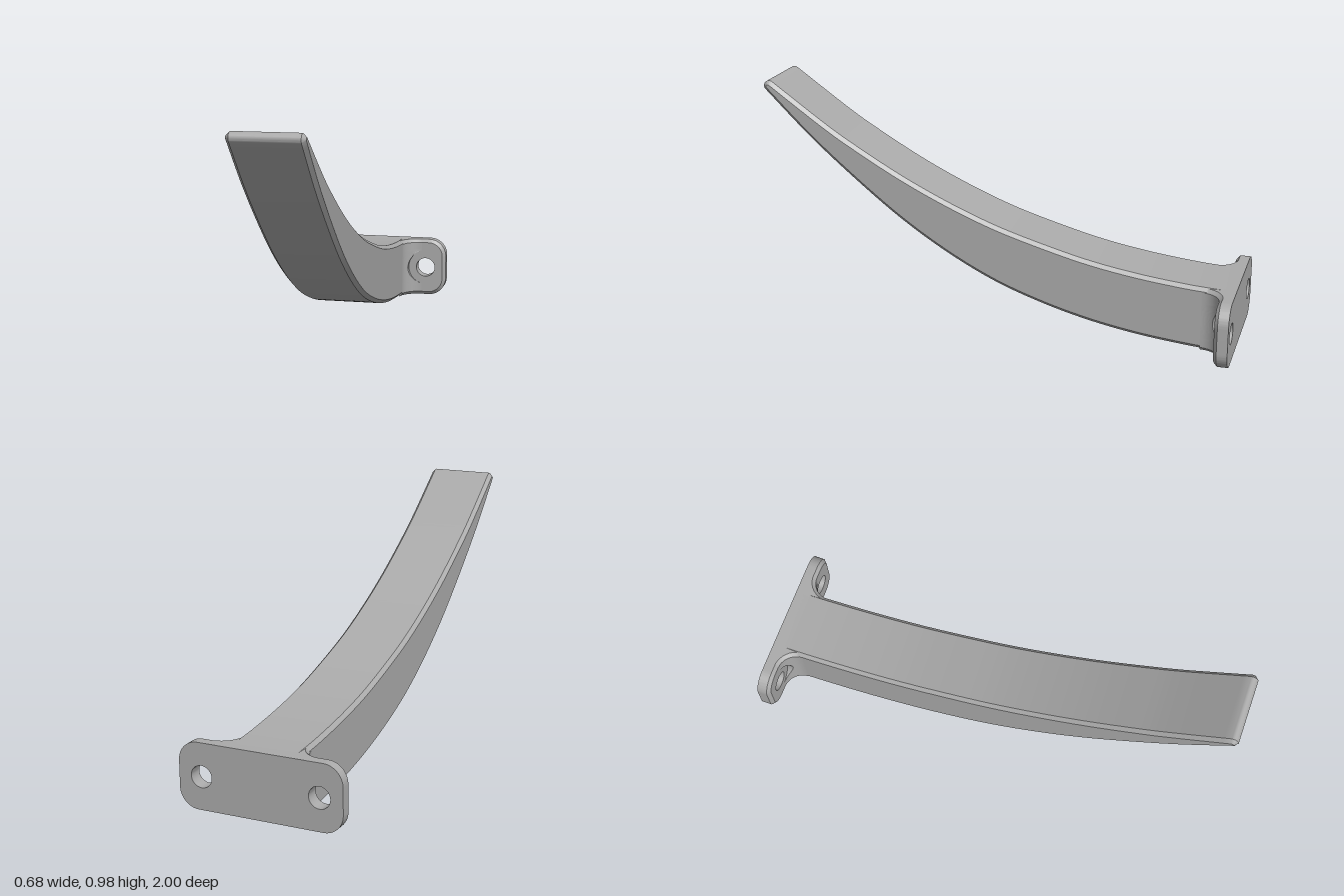
import * as THREE from 'three';
import { toCreasedNormals } from 'three/addons/utils/BufferGeometryUtils.js';

const HEIGHT = 0.267;      // plate height
const HALF = 0.34;         // plate half width
const CORNER = 0.08;       // plate corner radius
const FRONT = -0.943;      // front face of the plate
const ARM = 0.147;         // arm half width
const CHAMFER = 0.015;
const HOLE_X = 0.245, HOLE_Y = 0.133;

const crease = (g) => toCreasedNormals(g, 0.45);

// Curved tapering arm: side profile (z, y) extruded across x with chamfered edges
function armGeometry() {
  const v = (pts) => pts.map(([z, y]) => new THREE.Vector2(z, y));
  const shape = new THREE.Shape();
  shape.moveTo(-0.98, 0.002);
  shape.lineTo(-0.93, 0.004);
  shape.splineThru(v([[-0.8, 0.013], [-0.6, 0.036], [-0.4, 0.073], [-0.2, 0.127], [0, 0.2],
    [0.2, 0.302], [0.4, 0.43], [0.6, 0.585], [0.8, 0.757], [0.992, 0.945]]));
  shape.absarc(0.977, 0.962, 0.023, -0.84, 2.17, false);
  shape.splineThru(v([[0.735, 0.82], [0.6, 0.735], [0.4, 0.622], [0.2, 0.526], [0, 0.446],
    [-0.2, 0.385], [-0.4, 0.334], [-0.6, 0.299], [-0.8, 0.276], [-0.94, HEIGHT]]));
  shape.lineTo(-0.98, HEIGHT);
  shape.closePath();
  const depth = 2 * (ARM - CHAMFER);
  const g = new THREE.ExtrudeGeometry(shape, {
    depth, curveSegments: 6, bevelEnabled: true, bevelSegments: 1,
    bevelSize: CHAMFER, bevelThickness: CHAMFER, bevelOffset: -CHAMFER,
  });
  g.translate(0, 0, -depth / 2);
  g.rotateY(-Math.PI / 2);
  return crease(g);
}

// Rounded wall plate with two screw holes; only the front rim is chamfered
function plateGeometry() {
  const s = new THREE.Shape();
  const r = CORNER, w = HALF - r, top = HEIGHT - r;
  s.absarc(w, r, r, -Math.PI / 2, 0, false);
  s.absarc(w, top, r, 0, Math.PI / 2, false);
  s.absarc(-w, top, r, Math.PI / 2, Math.PI, false);
  s.absarc(-w, r, r, Math.PI, Math.PI * 1.5, false);
  for (const side of [-1, 1]) {
    s.holes.push(new THREE.Path().absarc(side * HOLE_X, HOLE_Y, 0.044, 0, Math.PI * 2, true));
  }
  const depth = FRONT + 1;
  const g = new THREE.ExtrudeGeometry(s, { depth, steps: 4, curveSegments: 16, bevelEnabled: false });
  const p = g.attributes.position;
  for (let i = 0; i < p.count; i++) {
    if (p.getZ(i) < depth - 1e-4) continue;
    const x = p.getX(i), y = p.getY(i);
    const qx = THREE.MathUtils.clamp(x, -w, w), qy = THREE.MathUtils.clamp(y, r, top);
    if (Math.hypot(x - qx, y - qy) < r - 1e-4) continue;
    const k = (r - CHAMFER) / r;
    p.setXY(i, qx + (x - qx) * k, qy + (y - qy) * k);
  }
  g.translate(0, 0, -1);
  return crease(g);
}

// Concave fillet between arm and plate, cut by a round screw-head clearance
function filletGeometry(side) {
  const R = 0.08, clearance = 0.08, arcSteps = 10;
  const cx = ARM + R, cz = FRONT + R;
  const rows = [0];
  for (let j = 0; j <= 32; j++) rows.push(CHAMFER + (HEIGHT - 2 * CHAMFER) * j / 32);
  rows.push(HEIGHT);
  const pos = [], idx = [];
  const n = arcSteps + 3;
  rows.forEach((y, j) => {
    const rad = j === 0 || j === rows.length - 1 ? R + CHAMFER : R;
    const dy = Math.abs(y - HOLE_Y);
    const cut = dy < clearance ? HOLE_X - Math.sqrt(clearance ** 2 - dy ** 2) : cx;
    const end = Math.min(cx, cut);
    const a1 = 2 * Math.PI - Math.acos((end - cx) / rad);
    pos.push(side * 0.12, y, -0.97);
    for (let i = 0; i <= arcSteps; i++) {
      const a = Math.PI + (a1 - Math.PI) * i / arcSteps;
      pos.push(side * (cx + rad * Math.cos(a)), y, cz + rad * Math.sin(a));
    }
    pos.push(side * end, y, -0.97);
  });
  const tri = (a, b, c) => (side > 0 ? idx.push(a, b, c) : idx.push(a, c, b));
  for (let j = 0; j < rows.length - 1; j++) {
    for (let i = 0; i < n; i++) {
      const a = j * n + i, b = j * n + (i + 1) % n;
      tri(a, b, b + n);
      tri(a, b + n, a + n);
    }
  }
  const last = (rows.length - 1) * n;
  for (let i = 1; i < n - 1; i++) {
    tri(last, last + i, last + i + 1);
    tri(0, i + 1, i);
  }
  const g = new THREE.BufferGeometry();
  g.setAttribute('position', new THREE.Float32BufferAttribute(pos, 3));
  g.setIndex(idx);
  return crease(g);
}

export function createModel() {
  const grey = new THREE.MeshStandardMaterial({ color: 0xaaaaaa });
  grey.name = 'grey';
  const group = new THREE.Group();
  group.name = 'wallHook';
  const add = (name, geometry) => {
    const mesh = new THREE.Mesh(geometry, grey);
    mesh.name = name;
    group.add(mesh);
  };
  add('arm', armGeometry());
  add('wallPlate', plateGeometry());
  add('leftFillet', filletGeometry(1));
  add('rightFillet', filletGeometry(-1));
  return group;
}
